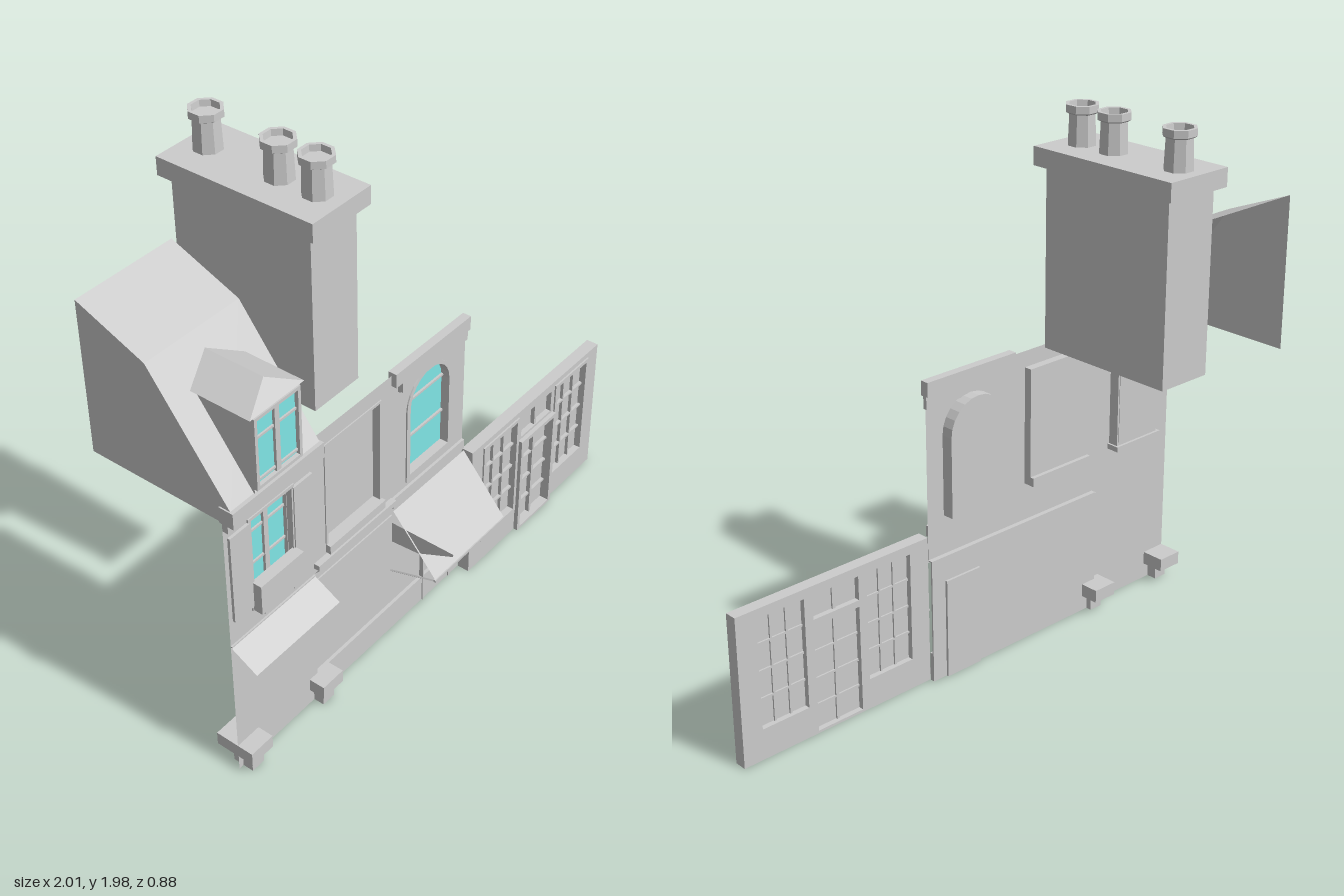
import * as THREE from 'three';

const opts = { flatShading: true, side: THREE.DoubleSide };
const stone = new THREE.MeshStandardMaterial({ name: 'pale stone', color: 0xcccccc, ...opts });
const glass = new THREE.MeshStandardMaterial({ name: 'turquoise glass', color: 0x80e6e6, ...opts });

function add(parent, name, geo, mat = stone) {
  const m = new THREE.Mesh(geo, mat);
  m.name = name;
  parent.add(m);
  return m;
}

// Box given by its limits on each axis
function box(parent, name, x0, x1, y0, y1, z0, z1, mat = stone) {
  const g = new THREE.BoxGeometry(x1 - x0, y1 - y0, z1 - z0);
  g.translate((x0 + x1) / 2, (y0 + y1) / 2, (z0 + z1) / 2);
  return add(parent, name, g, mat);
}

function poly(points) {
  return new THREE.Shape(points.map(p => new THREE.Vector2(...p)));
}
function rect(x0, x1, y0, y1) {
  return poly([[x0, y0], [x1, y0], [x1, y1], [x0, y1]]);
}
function arch(cx, r, y0, spring) {
  const pts = [[cx - r, y0], [cx + r, y0]];
  for (let i = 0; i <= 12; i++) {
    const a = Math.PI * i / 12;
    pts.push([cx + r * Math.cos(a), spring + r * Math.sin(a)]);
  }
  return poly(pts);
}
// Flat sheet, or a slab when depth is given, optionally pierced
function slab(parent, name, shape, holes, z, depth = 0, mat = stone) {
  shape.holes = holes;
  const g = depth ? new THREE.ExtrudeGeometry(shape, { depth, bevelEnabled: false })
    : new THREE.ShapeGeometry(shape);
  g.translate(0, 0, z);
  return add(parent, name, g, mat);
}
// Sheet in a plane of constant x, outline given as [z, y]
function sideSheet(parent, name, x, pts) {
  const g = new THREE.ShapeGeometry(poly(pts.map(([z, y]) => [-z, y])));
  g.rotateY(Math.PI / 2);
  g.translate(x, 0, 0);
  return add(parent, name, g);
}
// Surface from flat quads or triangles
function faces(parent, name, list) {
  const pos = [];
  for (const f of list) {
    for (let i = 1; i < f.length - 1; i++) pos.push(...f[0], ...f[i], ...f[i + 1]);
  }
  const g = new THREE.BufferGeometry();
  g.setAttribute('position', new THREE.Float32BufferAttribute(pos, 3));
  g.computeVertexNormals();
  return add(parent, name, g);
}
// Two-leaf casement with glazing bars
function casement(parent, x0, x1, y0, y1, z, bars) {
  const c = (x0 + x1) / 2;
  box(parent, 'glass', x0, x1, y0, y1, z, z + 0.004, glass);
  box(parent, 'mullion', c - 0.01, c + 0.01, y0, y1, z, z + 0.014);
  for (const y of bars) box(parent, 'glazingBar', x0, x1, y - 0.004, y + 0.004, z, z + 0.01);
  slab(parent, 'casementFrame', rect(x0 - 0.012, x1 + 0.012, y0 - 0.012, y1 + 0.012),
    [rect(x0, x1, y0, y1)], z - 0.004, 0.022);
}

export function createModel() {
  const model = new THREE.Group();
  const group = name => {
    const g = new THREE.Group();
    g.name = name;
    model.add(g);
    return g;
  };
  const W = 0.19;

  // Facade sheet with its window openings and the shop opening
  const facade = group('facade');
  slab(facade, 'wall', poly([[-1, 0], [-0.6, 0], [-0.6, 0.47], [0.2, 0.47], [0.2, 1.08],
    [-0.2, 1.08], [-0.2, 1.12], [-0.6, 1.12], [-0.6, 1.08], [-1, 1.08]]),
  [rect(-0.885, -0.7, 0.65, 1), rect(-0.53, -0.265, 0.65, 1.05), arch(0.003, 0.12, 0.63, 0.92)], W);

  // Ground floor shop recess
  const shop = group('shopFront');
  box(shop, 'shopPanel', -0.6, 0.2, 0.11, 0.47, 0.172, 0.178);
  box(shop, 'plinth', -0.6, 0.2, 0, 0.11, 0.172, W);
  box(shop, 'recessSide', -0.604, -0.6, 0, 0.47, 0.172, W);
  box(shop, 'recessTop', -0.6, 0.2, 0.47, 0.474, 0.172, W);
  box(shop, 'shopDoor', -0.015, 0.14, 0, 0.38, 0.163, 0.172);
  for (const x of [-0.015, 0.14]) box(shop, 'doorJamb', x - 0.004, x + 0.004, 0, 0.38, 0.172, 0.194);
  faces(shop, 'shopCornice', [
    [[-0.6, 0.565, W], [-0.2, 0.565, W], [-0.2, 0.59, 0.212], [-0.6, 0.59, 0.212]],
  ]);
  box(shop, 'corniceShelf', -0.6, -0.2, 0.59, 0.61, W, 0.212);
  box(shop, 'fascia', -0.6, -0.2, 0.47, 0.535, W, 0.195);

  // Left window with shutters and planter
  const left = group('leftWindow');
  slab(left, 'reveal', rect(-0.897, -0.688, 0.638, 1.012), [rect(-0.885, -0.7, 0.65, 1)], 0.15, 0.046);
  box(left, 'backPlate', -0.89, -0.695, 0.645, 1.005, 0.148, 0.152);
  casement(left, -0.883, -0.702, 0.65, 1, 0.156, [0.79, 0.92]);
  for (const x of [-0.983, -0.694]) box(left, 'shutter', x, x + 0.088, 0.66, 1, W, 0.2);
  box(left, 'planter', -0.893, -0.692, 0.64, 0.755, W, 0.23);
  for (const x of [-0.87, -0.73]) box(left, 'planterBracket', x, x + 0.02, 0.62, 0.64, W, 0.22);
  box(left, 'backSill', -0.91, -0.68, 0.62, 0.64, 0.14, W);
  box(left, 'stringCourse', -1, -0.6, 0.56, 0.565, W, 0.196);

  // Blind middle window
  const mid = group('middlePanel');
  slab(mid, 'reveal', rect(-0.54, -0.255, 0.64, 1.06), [rect(-0.53, -0.265, 0.65, 1.05)], 0.16, 0.034);
  box(mid, 'panel', -0.53, -0.265, 0.65, 1.05, 0.16, 0.165);
  box(mid, 'sill', -0.54, -0.255, 0.617, 0.65, 0.145, 0.21);

  // Arched window
  const arched = group('archedWindow');
  slab(arched, 'reveal', arch(0.003, 0.124, 0.622, 0.92), [arch(0.003, 0.106, 0.648, 0.925)], 0.145, 0.05);
  slab(arched, 'backPlate', arch(0.003, 0.12, 0.63, 0.92), [], 0.144);
  slab(arched, 'glass', arch(0.003, 0.106, 0.648, 0.925), [], 0.158, 0.004, glass);
  for (const y of [0.78, 0.93]) box(arched, 'glazingBar', -0.103, 0.109, y - 0.004, y + 0.004, 0.16, 0.17);
  box(arched, 'sillBand', -0.2, 0.2, 0.565, 0.605, W, 0.2);
  box(arched, 'cornice', -0.2, 0.2, 1.08, 1.133, 0.178, 0.21);
  box(arched, 'corniceBed', -0.165, 0.2, 1.035, 1.08, 0.185, 0.2);
  box(arched, 'corniceStop', -0.165, -0.15, 1.04, 1.08, 0.2, 0.21);

  // Awnings and hanging bracket
  const awnings = group('awnings');
  faces(awnings, 'leftAwning', [
    [[-1, 0.56, W], [-1, 0.503, 0.293], [-0.6, 0.503, 0.293], [-0.6, 0.56, W]],
    [[-1, 0.503, 0.293], [-1, 0.488, 0.293], [-0.6, 0.488, 0.293], [-0.6, 0.503, 0.293]],
  ]);
  faces(awnings, 'rightAwning', [
    [[-0.2, 0.555, 0.2], [-0.2, 0.345, 0.378], [0.2, 0.345, 0.378], [0.2, 0.555, 0.2]],
  ]);
  box(awnings, 'awningBar', -0.203, 0.203, 0.336, 0.345, 0.373, 0.382);
  for (const x of [-0.2, 0.2]) {
    const path = new THREE.LineCurve3(new THREE.Vector3(x, 0.34, 0.378), new THREE.Vector3(x, 0.28, W));
    add(awnings, 'awningArm', new THREE.TubeGeometry(path, 1, 0.004, 4));
  }
  sideSheet(awnings, 'hangingBracket', -0.195,
    [[0.445, 0.495], [0.445, 0.485], [0.3, 0.418], [W, 0.41], [W, 0.495]]);

  // Stone guards through the foot of the wall
  const guards = group('footStones');
  for (const x of [-1, -0.64]) {
    box(guards, 'footStone', x, x + 0.1, 0.06, 0.11, 0.1, 0.25);
    box(guards, 'footStoneBase', x + 0.02, x + 0.075, 0, 0.06, 0.15, 0.23);
  }

  // Mansard roof, open at the back
  const roof = group('mansardRoof');
  const L = -1, R = -0.6;
  faces(roof, 'slopes', [
    [[L, 1.13, 0.23], [R, 1.13, 0.23], [R, 1.53, -0.07], [L, 1.53, -0.07]],
    [[L, 1.53, -0.07], [R, 1.53, -0.07], [R, 1.635, -0.33], [L, 1.635, -0.33]],
  ]);
  sideSheet(roof, 'gableWall', L, [[0.23, 1.075], [0.23, 1.13], [-0.07, 1.53], [-0.33, 1.635], [-0.33, 1.075]]);
  sideSheet(roof, 'rightVerge', R, [[0.23, 1.13], [0.08, 1.33], [0.08, 1.13]]);
  box(roof, 'eavesCornice', -1.005, -0.595, 1.075, 1.135, 0.185, 0.24);
  box(roof, 'eavesBed', -1, -0.6, 1.04, 1.075, W, 0.212);

  // Dormer with hipped front
  const dormer = group('dormer');
  const dl = -0.897, dr = -0.69;
  for (const x of [dl, dr]) sideSheet(dormer, 'cheek', x, [[0.23, 1.13], [0.23, 1.42], [0.012, 1.42]]);
  slab(dormer, 'front', rect(dl, dr, 1.13, 1.42), [], 0.22);
  casement(dormer, -0.883, -0.704, 1.16, 1.4, 0.222, [1.175, 1.33]);
  const el = [-0.912, 1.418], er = [-0.675, 1.418], ridge = [-0.793, 1.48];
  faces(dormer, 'dormerRoof', [
    [[...el, 0.24], [...ridge, 0.19], [...ridge, -0.04], [...el, 0.01]],
    [[...er, 0.24], [...er, 0.01], [...ridge, -0.04], [...ridge, 0.19]],
    [[...el, 0.24], [...er, 0.24], [...ridge, 0.19]],
    [[...el, 0.24], [...el, 0.01], [...er, 0.01], [...er, 0.24]],
  ]);

  // Chimney stack, open below, with cap and pots
  const chimney = group('chimney');
  const tube = new THREE.CylinderGeometry(Math.SQRT1_2, Math.SQRT1_2, 1, 4, 1, true);
  tube.rotateY(Math.PI / 4).scale(0.21, 0.64, 0.54).translate(-0.397, 1.46, -0.14);
  add(chimney, 'stack', tube);
  box(chimney, 'cap', -0.53, -0.265, 1.78, 1.845, -0.44, 0.163);
  const potProfile = [[0.05, 1.845], [0.046, 1.95], [0.058, 1.957], [0.058, 1.982],
    [0.046, 1.982], [0.044, 1.96], [0, 1.96]].map(p => new THREE.Vector2(...p));
  for (const z of [0.07, -0.073, -0.353]) {
    const pot = add(chimney, 'chimneyPot', new THREE.LatheGeometry(potProfile, 8, Math.PI / 8));
    pot.position.set(-0.395, 0, z);
  }

  // Low side building with paned windows and door
  const annex = group('sideBuilding');
  const holes = [[0.28, 0.47], [0.73, 0.92]];
  const openings = () => [...holes.map(([a, b]) => rect(a, b, 0.115, 0.525)),
    rect(0.505, 0.695, 0.01, 0.41), rect(0.505, 0.695, 0.435, 0.525)];
  slab(annex, 'annexWall', rect(0.2, 1, 0, 0.56), openings(), 0.192, 0.046);
  box(annex, 'paneBacking', 0.26, 0.94, 0.005, 0.54, 0.212, 0.218);
  for (const [a, b] of holes) {
    slab(annex, 'windowFrame', rect(a - 0.014, b + 0.014, 0.101, 0.539), [rect(a, b, 0.115, 0.525)], 0.236, 0.008);
    for (const k of [1, 2]) {
      const x = a + (b - a) * k / 3;
      box(annex, 'verticalBar', x - 0.004, x + 0.004, 0.115, 0.525, 0.206, 0.23);
    }
    for (const k of [1, 2, 3]) {
      const y = 0.115 + 0.41 * k / 4;
      box(annex, 'horizontalBar', a, b, y - 0.004, y + 0.004, 0.206, 0.23);
    }
  }
  slab(annex, 'doorFrame', rect(0.49, 0.71, 0, 0.425), [rect(0.505, 0.695, 0.01, 0.41)], 0.236, 0.018);
  box(annex, 'doorMullion', 0.594, 0.606, 0.01, 0.525, 0.206, 0.234);
  for (const y of [0.1, 0.2, 0.305]) box(annex, 'doorBar', 0.505, 0.695, y - 0.004, y + 0.004, 0.206, 0.23);

  return model;
}
